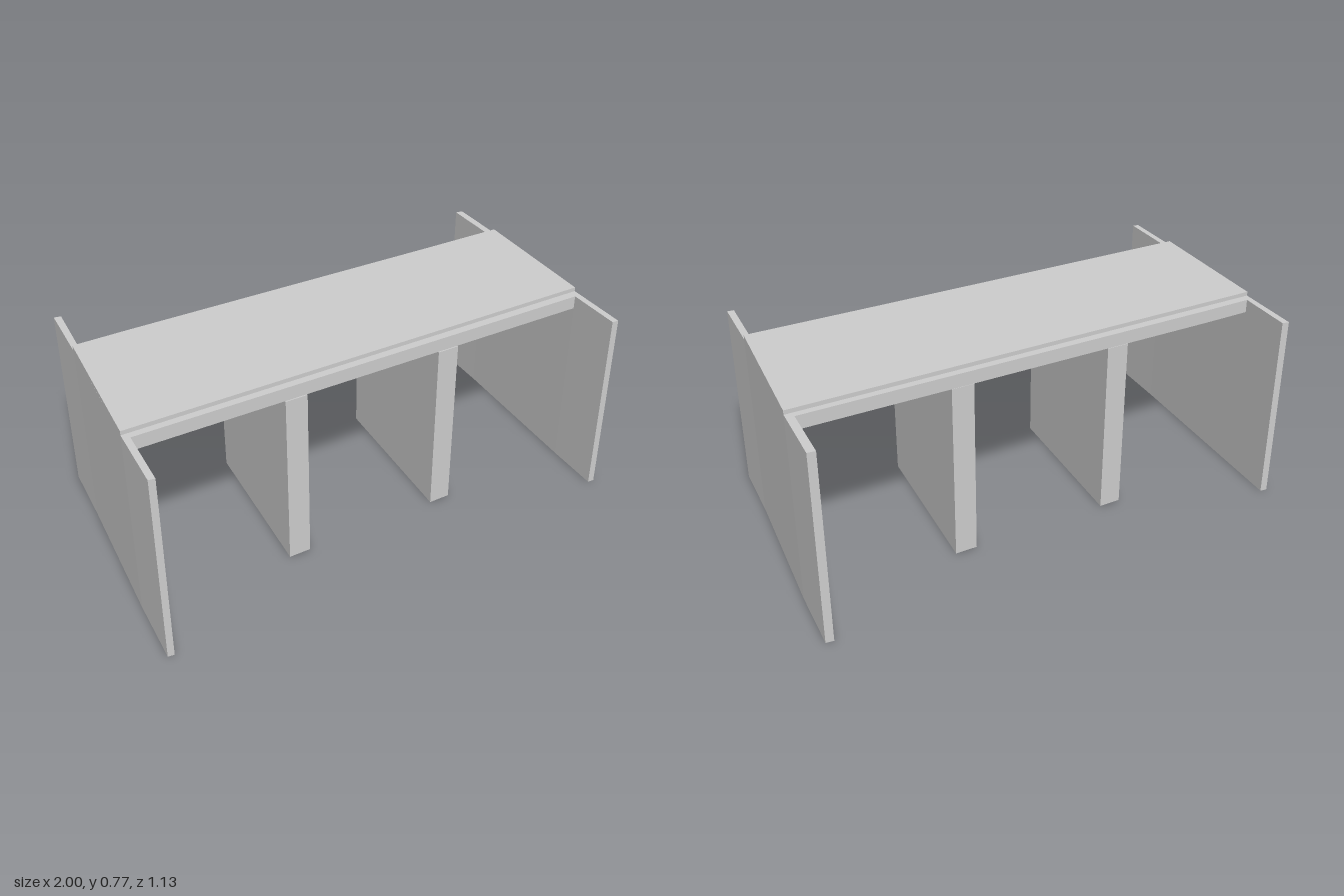
import * as THREE from 'three';

const material = new THREE.MeshStandardMaterial({ color: 0xcccccc, flatShading: true });

// Upright prism from a plan outline of [x, z] corners, between two heights
function prism(name, outline, bottom, top) {
  const shape = new THREE.Shape(outline.map(([x, z]) => new THREE.Vector2(x, -z)));
  const geometry = new THREE.ExtrudeGeometry(shape, { depth: top - bottom, bevelEnabled: false });
  geometry.rotateX(-Math.PI / 2);
  geometry.translate(0, bottom, 0);
  const mesh = new THREE.Mesh(geometry, material);
  mesh.name = name;
  return mesh;
}

export function createModel() {
  const group = new THREE.Group();
  group.name = 'culvertBridge';
  const wallTop = 0.75, beamBottom = 0.698, deckTop = 0.766;

  // Skewed end walls, bending slightly where they leave the deck
  group.add(prism('rightEndWall', [
    [-0.904, -0.562], [-0.925, -0.295], [-0.981, 0.292], [-1.0, 0.557],
    [-0.976, 0.561], [-0.958, 0.32], [-0.898, -0.328], [-0.877, -0.558],
  ], 0, wallTop));
  group.add(prism('leftEndWall', [
    [0.968, -0.566], [0.953, -0.333], [0.894, 0.32], [0.878, 0.549],
    [0.904, 0.551], [0.922, 0.285], [0.981, -0.308], [0.998, -0.562],
  ], 0, wallTop));

  // Inner piers, skewed to match
  for (const [name, x] of [['rightPier', -0.397], ['leftPier', 0.245]]) {
    group.add(prism(name, [
      [x, 0.325], [x + 0.087, 0.325], [x + 0.147, -0.334], [x + 0.06, -0.334],
    ], 0, beamBottom));
  }

  // Span slab between the end walls, and the thin deck laid over it
  group.add(prism('spanSlab', [
    [-0.898, -0.328], [-0.7, -0.331], [0.953, -0.333], [0.894, 0.32], [-0.958, 0.32],
  ], beamBottom, wallTop));
  group.add(prism('deck', [
    [-0.925, -0.295], [0.981, -0.308], [0.922, 0.285], [-0.981, 0.293],
  ], wallTop, deckTop));

  return group;
}
